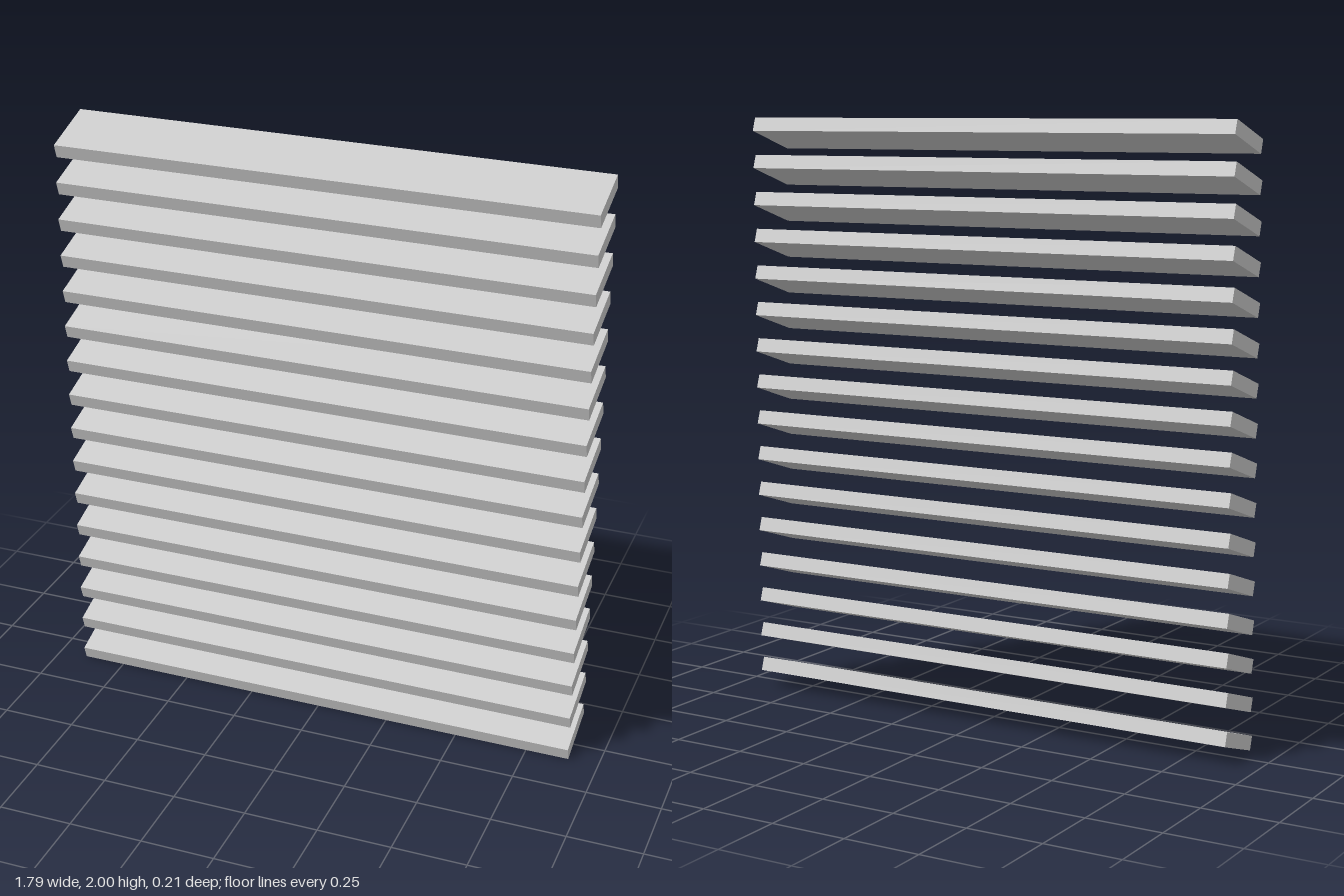
import * as THREE from 'three';

const SLATS = 16;
const WIDTH = 1.794, THICKNESS = 0.047, DEPTH = 0.204;
const TILT = 0.31; // front edge low, back edge high
const HEIGHT = 2;

export function createModel() {
  const group = new THREE.Group();
  group.name = 'louvreBlind';
  const material = new THREE.MeshStandardMaterial({ color: 0xcccccc, flatShading: true });
  const geometry = new THREE.BoxGeometry(WIDTH, THICKNESS, DEPTH);

  // Half the vertical extent of one tilted slat
  const half = (DEPTH * Math.sin(TILT) + THICKNESS * Math.cos(TILT)) / 2;
  const step = (HEIGHT - 2 * half) / (SLATS - 1);

  // Evenly stacked tilted slats
  for (let i = 0; i < SLATS; i++) {
    const slat = new THREE.Mesh(geometry, material);
    slat.name = `slat${i + 1}`;
    slat.position.y = half + i * step;
    slat.rotation.x = TILT;
    group.add(slat);
  }
  return group;
}
